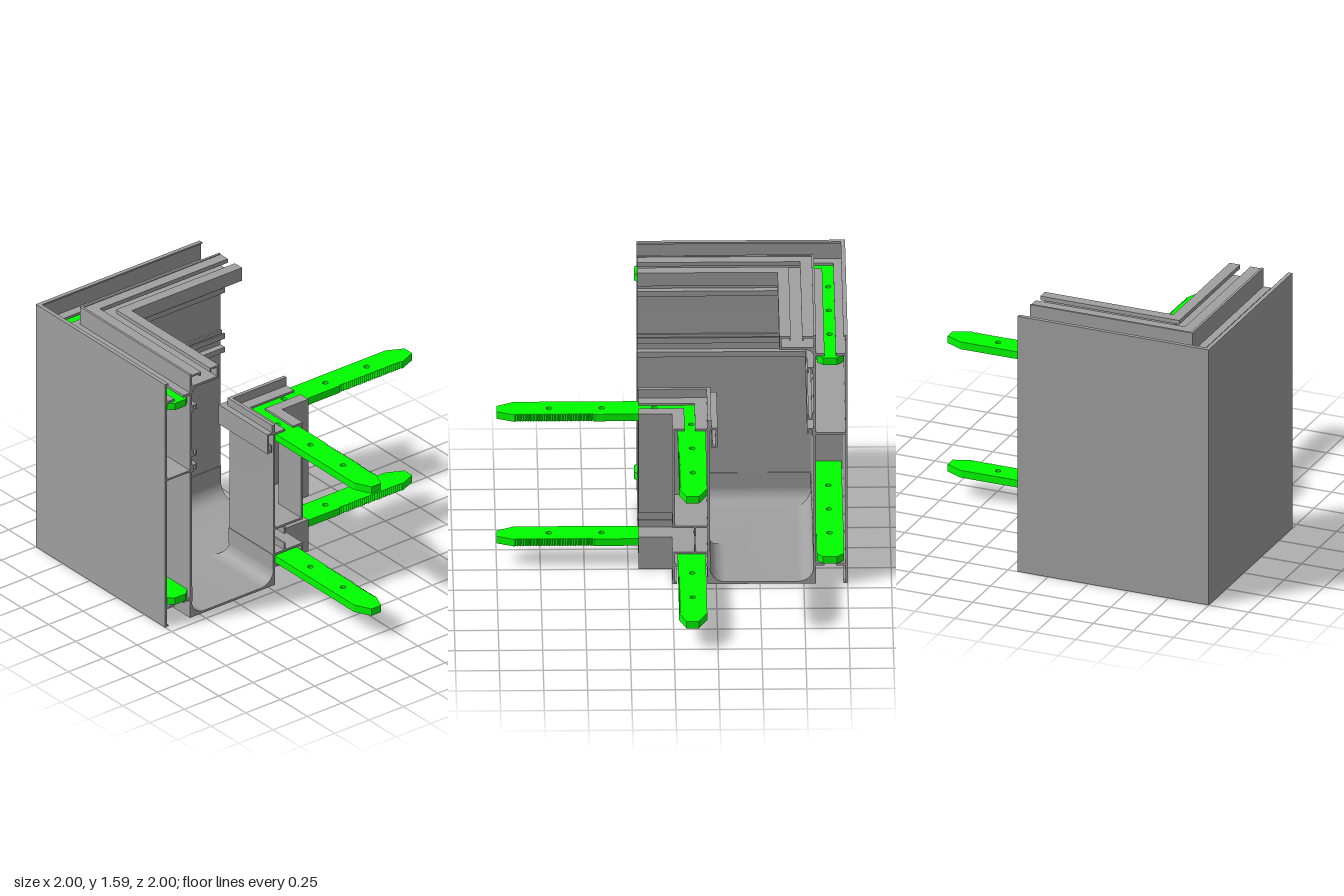
import * as THREE from 'three';
import { mergeGeometries, toCreasedNormals } from 'three/addons/utils/BufferGeometryUtils.js';

const END = 0.19; // where both legs are cut off
const metal = new THREE.MeshStandardMaterial({ color: 0xa0a0a0, side: THREE.DoubleSide });
const green = new THREE.MeshStandardMaterial({ color: 0x00ff00 });

const poly = (pts) => new THREE.Shape(pts.map(([a, b]) => new THREE.Vector2(a, b)));
const rect = (d0, d1, y0, y1) => poly([[d0, y0], [d1, y0], [d1, y1], [d0, y1]]);

// Sweeps sections (d = distance from the inner corner, y = height) along both mitred legs
function sweep(name, sections) {
  const legs = [0, 1].map((leg) => {
    const g = new THREE.ExtrudeGeometry(sections, { depth: 1, bevelEnabled: false, curveSegments: 8 });
    const p = g.attributes.position;
    for (let i = 0; i < p.count; i++) {
      const d = p.getX(i), y = p.getY(i), far = p.getZ(i) > 0.5;
      if (leg === 0) p.setXYZ(i, far ? -d : END, y, d);
      else p.setXYZ(i, -d, y, far ? -END : d);
    }
    g.computeVertexNormals();
    return toCreasedNormals(g, 0.5);
  });
  const mesh = new THREE.Mesh(mergeGeometries(legs), metal);
  mesh.name = name;
  return mesh;
}

// Flat L-shaped bracket; half is the outline of the +x arm from outer to inner corner, in (x, z)
function bracket(name, half, holes, holeZ, y, height) {
  const mirrored = half.slice(1, -1).reverse().map(([x, z]) => [-z, -x]);
  // Shape y is -z, so the extrusion can be turned upright
  const s = poly([...half, ...mirrored].map(([x, z]) => [x, -z]));
  for (const h of holes) {
    for (const [x, z] of [[h, holeZ], [-holeZ, -h]]) {
      const hole = new THREE.Path();
      hole.absarc(x, -z, 0.017, 0, Math.PI * 2, true);
      s.holes.push(hole);
    }
  }
  const g = new THREE.ExtrudeGeometry(s, { depth: height, bevelEnabled: false, curveSegments: 8 });
  g.rotateX(-Math.PI / 2);
  const mesh = new THREE.Mesh(g, green);
  mesh.name = name;
  mesh.position.y = y;
  return mesh;
}

// Trough section: square outside, rounded corners inside
function troughSection() {
  const a = 0.2, b = 0.82, t = 0.014, r = 0.09;
  const s = poly([[a, 1.05], [a, 0], [b, 0], [b, 1.59], [b - t, 1.59]]);
  s.lineTo(b - t, t + r);
  s.absarc(b - t - r, t + r, r, 0, -Math.PI / 2, true);
  s.absarc(a + t + r, t + r, r, -Math.PI / 2, -Math.PI, true);
  s.lineTo(a + t, 1.05);
  return s;
}

// Hook rail on the fascia side of the trough
const hook = (y) => poly([
  [0.807, y], [0.807, y + 0.045], [0.768, y + 0.045], [0.768, y + 0.012],
  [0.778, y + 0.012], [0.778, y + 0.035], [0.795, y + 0.035], [0.795, y],
]);

export function createModel() {
  const model = new THREE.Group();
  model.name = 'mitredGutterCorner';

  // Outer skin with its small returns at the top and bottom
  model.add(sweep('fasciaPanel', [poly([
    [1, 0], [1, 1.59], [0.975, 1.59], [0.975, 1.58], [0.988, 1.58],
    [0.988, 0.01], [0.975, 0.01], [0.975, 0],
  ])]));
  model.add(sweep('gutterTrough', [troughSection()]));
  // Thin liner around the foot of the trough walls
  model.add(sweep('troughLiner', [rect(0.214, 0.218, 0.1, 0.2), rect(0.802, 0.806, 0.1, 0.2)]));

  // Slotted tracks that hold the brackets, and the stiffening web between the walls
  model.add(sweep('fasciaTracks', [
    ...[0.115, 1.46].flatMap((y) => [
      rect(0.82, 0.868, y, y + 0.015), rect(0.932, 0.988, y, y + 0.015),
    ]),
    rect(0.82, 0.988, 0.955, 0.967),
  ]));

  // Arm at the top of the fascia wall: hollow, with an open slot and a curved underside
  const arm = new THREE.Shape();
  arm.moveTo(0.806, 1.45);
  arm.absarc(0.756, 1.45, 0.05, 0, Math.PI / 2, false);
  arm.lineTo(0.61, 1.5);
  arm.lineTo(0.61, 1.585);
  arm.lineTo(0.665, 1.585);
  arm.lineTo(0.665, 1.573);
  arm.lineTo(0.622, 1.573);
  arm.lineTo(0.622, 1.514);
  arm.lineTo(0.806, 1.514);
  model.add(sweep('topArm', [
    arm, rect(0.74, 0.807, 1.573, 1.585), rect(0.74, 0.75, 1.56, 1.573),
    rect(0.665, 0.675, 1.56, 1.585),
  ]));
  model.add(sweep('wallHooks', [
    hook(0.95), hook(1.34),
    poly([[0.807, 1.05], [0.807, 1.095], [0.795, 1.095], [0.795, 1.062],
      [0.778, 1.062], [0.778, 1.085], [0.768, 1.085], [0.768, 1.05]]),
  ]));

  // Back casing: upper box, recessed fixing channel, lower box
  model.add(sweep('upperBackCasing', [
    rect(0, 0.014, 0.365, 0.995), rect(0, 0.2, 0.36, 0.374),
    rect(0.014, 0.07, 0.983, 0.995), rect(0.13, 0.2, 0.983, 0.995),
  ]));
  model.add(sweep('fixingChannelLips', [
    rect(0.125, 0.136, 0.205, 0.25), rect(0.125, 0.136, 0.31, 0.36),
  ]));
  model.add(sweep('lowerBackCasing', [
    poly([[0, 0], [0.025, 0], [0.025, 0.01], [0.014, 0.01], [0.014, 0.193], [0.2, 0.193],
      [0.2, 0.206], [0, 0.206]]),
    rect(0.014, 0.07, 0.115, 0.13), rect(0.13, 0.2, 0.115, 0.13),
  ]));
  // Hanging J lip on the trough side of the back wall
  model.add(sweep('backWallLip', [poly([
    [0.21, 1.05], [0.21, 0.99], [0.246, 0.99], [0.246, 0.887], [0.232, 0.887], [0.232, 0.92],
    [0.224, 0.92], [0.224, 0.875], [0.258, 0.875], [0.258, 1.002], [0.222, 1.002], [0.222, 1.05],
  ])]));

  // Long brackets with pointed tips and a toothed inner edge
  const teeth = [];
  for (let i = 0; i < 30; i++) {
    const x = 0.895 - i * 0.015;
    teeth.push([x, 0.03], [x - 0.0075, 0.04]);
  }
  const longHalf = [
    [-0.19, 0.19], [0.9, 0.19], [1, 0.14], [1, 0.07], [0.9, 0.03],
    ...teeth, [0.445, 0.03], [-0.03, 0.03],
  ];
  for (const [name, y] of [['lowerLongBracket', 0.135], ['upperLongBracket', 0.935]]) {
    model.add(bracket(name, longHalf, [0.1, 0.4, 0.7], 0.11, y, 0.045));
  }

  // Short brackets inside the fascia tracks
  const shortHalf = [[-0.98, 0.98], [0.17, 0.98], [0.205, 0.94], [0.205, 0.86], [0.17, 0.824], [-0.824, 0.824]];
  for (const [name, y] of [['lowerShortBracket', 0.135], ['upperShortBracket', 1.41]]) {
    model.add(bracket(name, shortHalf, [-0.68, -0.385, -0.09], 0.9, y, 0.045));
  }
  return model;
}
